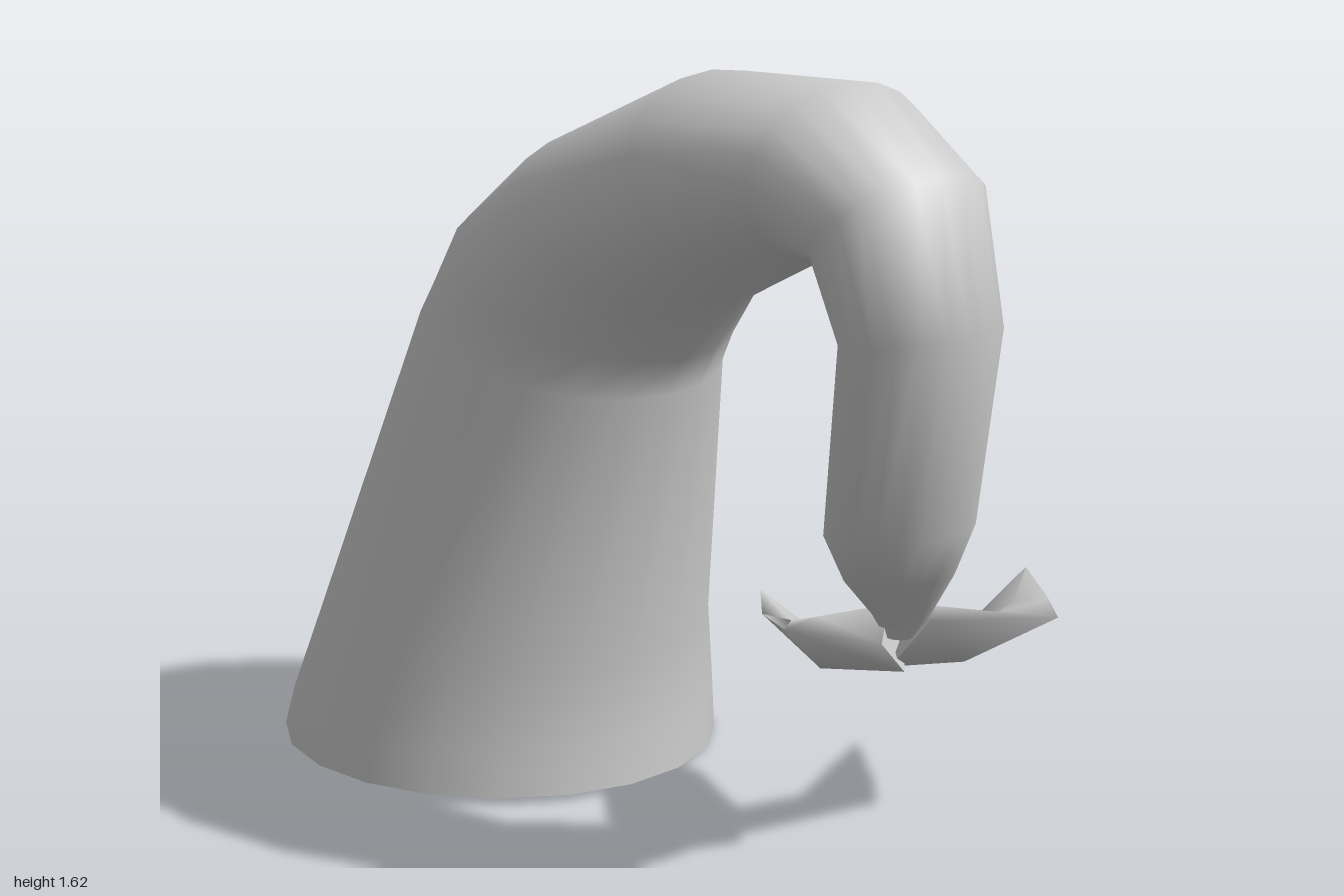
import * as THREE from 'three';

const SIDES = 20;
const material = new THREE.MeshStandardMaterial({ color: 0xcccccc, side: THREE.DoubleSide });

// Smooth skin through equal-length rings of points, with optional flat end caps
function loft(name, rings, capStart = false, capEnd = false) {
  const n = rings[0].length;
  const points = rings.flat();
  const index = [];
  for (let r = 0; r < rings.length - 1; r++) {
    for (let i = 0; i < n; i++) {
      const j = (i + 1) % n;
      const a = r * n + i, b = r * n + j, c = b + n, d = a + n;
      index.push(a, b, c, a, c, d);
    }
  }
  // Caps use their own vertices so that their rims stay sharp
  const cap = (ring, flip) => {
    const start = points.length;
    points.push(...ring);
    for (let i = 1; i < n - 1; i++) {
      if (flip) index.push(start, start + i + 1, start + i);
      else index.push(start, start + i, start + i + 1);
    }
  };
  if (capStart) cap(rings[0], true);
  if (capEnd) cap(rings[rings.length - 1], false);
  const geometry = new THREE.BufferGeometry().setFromPoints(points);
  geometry.setIndex(index);
  geometry.computeVertexNormals();
  const mesh = new THREE.Mesh(geometry, material);
  mesh.name = name;
  return mesh;
}

// Elliptical ring: outer x,y / inner x,y / z range / y tilt along z
function tailRing([ox, oy, ix, iy, zBack, zFront, tilt = 0]) {
  const ring = [];
  for (let i = 0; i < SIDES; i++) {
    const t = (i / SIDES) * Math.PI * 2;
    const c = Math.cos(t), s = Math.sin(t);
    ring.push(new THREE.Vector3(
      (ox + ix) / 2 + ((ox - ix) / 2) * c,
      (oy + iy) / 2 + ((oy - iy) / 2) * c + tilt * s,
      (zBack + zFront) / 2 + ((zFront - zBack) / 2) * s));
  }
  return ring;
}

// Fluke lobe: four-point sections (outer edge, top, inner edge, keel) and a tip
function lobe(name, sections, tip, reverse) {
  const rings = [...sections, [tip, tip, tip, tip]].map((section) => {
    const ring = section.map((p) => new THREE.Vector3(...p));
    return reverse ? ring.reverse() : ring;
  });
  return loft(name, rings, true);
}

export function createModel() {
  const model = new THREE.Group();
  model.name = 'curledTail';

  // Thick stem that arches over and narrows to the fluke joint
  const stem = [
    [-1.0, 0.02, -0.03, 0.014, -0.345, 0.625, 0.012],
    [-0.965, 0.125, -0.035, 0.115, -0.335, 0.612],
    [-0.87, 0.37, -0.037, 0.29, -0.3, 0.56],
    [-0.6, 1.05, 0.05, 0.89, -0.22, 0.43],
    [-0.48, 1.22, 0.12, 0.98, -0.19, 0.425],
    [-0.21, 1.41, 0.22, 1.1, -0.16, 0.42],
    [0.23, 1.597, 0.42, 1.2, -0.14, 0.4],
    [0.66, 1.625, 0.59, 1.28, -0.085, 0.37],
    [0.92, 1.48, 0.68, 1.285, -0.05, 0.34],
    [1.0, 1.19, 0.73, 1.15, -0.03, 0.31],
    [0.89, 0.77, 0.63, 0.75, -0.07, 0.25],
    [0.8, 0.65, 0.6, 0.63, -0.085, 0.15],
    [0.7, 0.53, 0.58, 0.545, -0.08, 0.035],
    [0.67, 0.49, 0.61, 0.495, -0.06, 0.01],
  ].map(tailRing);
  model.add(loft('stem', stem, true, true));

  // Lobe reaching backwards
  model.add(lobe('backFluke', [
    [[0.7, 0.53, -0.05], [0.64, 0.55, -0.06], [0.52, 0.44, -0.15], [0.64, 0.43, 0.0]],
    [[0.7, 0.465, -0.41], [0.6, 0.465, -0.34], [0.52, 0.4, -0.28], [0.56, 0.36, -0.28]],
    [[0.58, 0.46, -0.5], [0.52, 0.445, -0.46], [0.44, 0.39, -0.41], [0.5, 0.395, -0.44]],
  ], [0.39, 0.46, -0.62], true));

  // Lobe reaching sideways beneath the arch
  model.add(lobe('sideFluke', [
    [[0.68, 0.5, 0.06], [0.6, 0.545, -0.03], [0.52, 0.44, -0.15], [0.66, 0.42, -0.02]],
    [[0.43, 0.475, 0.1], [0.42, 0.48, 0.0], [0.42, 0.395, -0.15], [0.45, 0.38, 0.02]],
    [[0.24, 0.44, 0.0], [0.24, 0.41, -0.08], [0.23, 0.345, -0.185], [0.26, 0.36, -0.09]],
  ], [0.03, 0.41, -0.17], false));

  return model;
}
